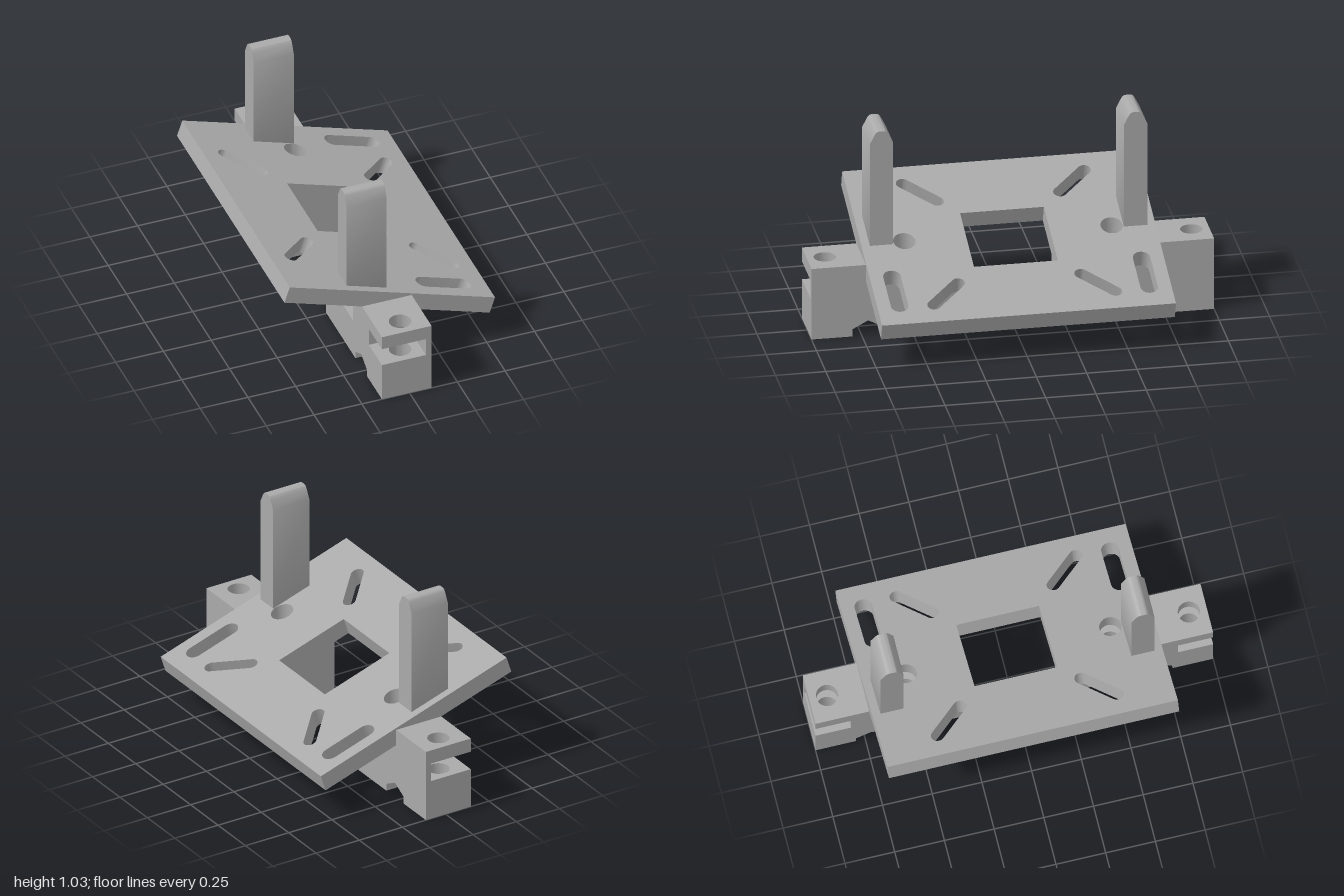
import * as THREE from 'three';
import { toCreasedNormals } from 'three/addons/utils/BufferGeometryUtils.js';

const TILT = 0.314, THICK = 0.09, PLATE_Y = 0.378;
const BOLT_X = -0.015, BOLT_R = 0.055, BOLT_Z = [0.515, 0.91];

const grey = new THREE.MeshStandardMaterial({ color: 0xaaaaaa });
grey.name = 'plain grey';

function mesh(name, geometry) {
  const m = new THREE.Mesh(toCreasedNormals(geometry, 0.5), grey);
  m.name = name;
  return m;
}

const polygon = (points) => new THREE.Shape(points.map(([x, y]) => new THREE.Vector2(x, y)));
const rect = (x0, x1, y0, y1) => polygon([[x0, y0], [x1, y0], [x1, y1], [x0, y1]]);

function ellipse(x, y, rx, ry) {
  const p = new THREE.Path();
  p.absellipse(x, y, rx, ry, 0, Math.PI * 2);
  return p;
}

// Round-ended slot between centre points a and b
function slot([ax, ay], [bx, by], r) {
  const a = Math.atan2(by - ay, bx - ax), q = Math.PI / 2;
  const p = new THREE.Path();
  p.absarc(bx, by, r, a - q, a + q);
  p.absarc(ax, ay, r, a + q, a + 3 * q);
  p.closePath();
  return p;
}

// Ground-plan shape (x, -z) raised from y0 to y1
function raise(shape, y0, y1) {
  return new THREE.ExtrudeGeometry(shape, { depth: y1 - y0, bevelEnabled: false, curveSegments: 16 })
    .rotateX(-Math.PI / 2).translate(0, y0, 0);
}

// Side-view shape (-z, y) drawn out from x0 to x1
function drawOut(shape, x0, x1) {
  return new THREE.ExtrudeGeometry(shape, { depth: x1 - x0, bevelEnabled: false, curveSegments: 8 })
    .rotateY(Math.PI / 2).translate(x0, 0, 0);
}

// Tilted plate with its window, slots and upright bolt holes
function makePlate() {
  const shape = rect(-0.565, 0.565, -0.73, 0.73);
  shape.holes.push(rect(-0.2, 0.192, -0.208, 0.208));
  const cu = BOLT_X / Math.cos(TILT), ru = BOLT_R / Math.cos(TILT);
  for (const s of [1, -1]) {
    shape.holes.push(ellipse(cu, s * BOLT_Z[0], ru, BOLT_R));
    shape.holes.push(slot([0.218, s * 0.62], [0.432, s * 0.62], 0.043));
    for (const t of [1, -1]) {
      shape.holes.push(slot([t * 0.299, s * 0.305], [t * 0.445, s * 0.451], 0.033));
    }
  }
  const g = raise(shape, -THICK / 2, THICK / 2);
  // Lean the bolt holes so that they end up vertical
  const p = g.attributes.position;
  for (let i = 0; i < p.count; i++) {
    const d = Math.hypot(p.getX(i) - cu, Math.abs(p.getZ(i)) - BOLT_Z[0]);
    if (d < 0.07) p.setX(i, p.getX(i) - p.getY(i) * Math.tan(TILT));
  }
  return mesh('tiltedPlate', g.rotateZ(-TILT).translate(0, PLATE_Y, 0));
}

// Upright post with tapered, rounded ends
function makePost(s) {
  const c = -s * 0.631, w = 0.058, top = 1.035, bottom = 0.35;
  const shape = new THREE.Shape();
  shape.moveTo(c + w, bottom + 0.065);
  shape.lineTo(c + w, top - 0.065);
  shape.lineTo(c + 0.034, top - 0.018);
  shape.bezierCurveTo(c + 0.024, top, c + 0.018, top, c, top);
  shape.bezierCurveTo(c - 0.018, top, c - 0.024, top, c - 0.034, top - 0.018);
  shape.lineTo(c - w, top - 0.065);
  shape.lineTo(c - w, bottom + 0.065);
  shape.lineTo(c - 0.034, bottom + 0.018);
  shape.bezierCurveTo(c - 0.024, bottom, c - 0.018, bottom, c, bottom);
  shape.bezierCurveTo(c + 0.018, bottom, c + 0.024, bottom, c + 0.034, bottom + 0.018);
  shape.closePath();
  return mesh('post', drawOut(shape, -0.21, 0));
}

// Foot block, stacked in layers: pads, notch roof, core, nut slots and cap
function makeFoot(s) {
  const foot = new THREE.Group();
  foot.name = s > 0 ? 'frontFoot' : 'backFoot';
  const x0 = -0.145, x1 = 0.115, z0 = 0.24, z1 = 1;
  const slab = (name, za, zb, ya, yb) => {
    const shape = rect(x0, x1, -s * za, -s * zb);
    for (const z of BOLT_Z) {
      if (z > za && z < zb) shape.holes.push(ellipse(BOLT_X, -s * z, BOLT_R, BOLT_R));
    }
    foot.add(mesh(name, raise(shape, ya, yb)));
  };
  slab('innerPad', z0, 0.64, 0, 0.08);
  slab('outerPad', 0.797, z1, 0, 0.08);
  for (const z of [0.64, 0.797]) {
    const wedge = polygon([[-s * z, 0.038], [-s * 0.7185, 0.08], [-s * z, 0.08]]);
    foot.add(mesh('notchRoof', drawOut(wedge, x0, x1)));
  }
  slab('core', z0, z1, 0.08, 0.208);
  const xs = 0.085;
  const plan = [[x1, z0], [x1, z1], [xs, z1], [xs, 0.822], [x0, 0.822], [x0, 0.605],
    [xs, 0.605], [xs, 0.425], [x0, 0.425], [x0, z0]];
  foot.add(mesh('nutSlots', raise(polygon(plan.map(([x, z]) => [x, -s * z])), 0.208, 0.305)));
  slab('cap', z0, z1, 0.305, 0.378);
  return foot;
}

export function createModel() {
  const model = new THREE.Group();
  model.name = 'tiltedMountingBracket';
  model.add(makePlate());
  for (const s of [1, -1]) model.add(makePost(s), makeFoot(s));
  return model;
}
